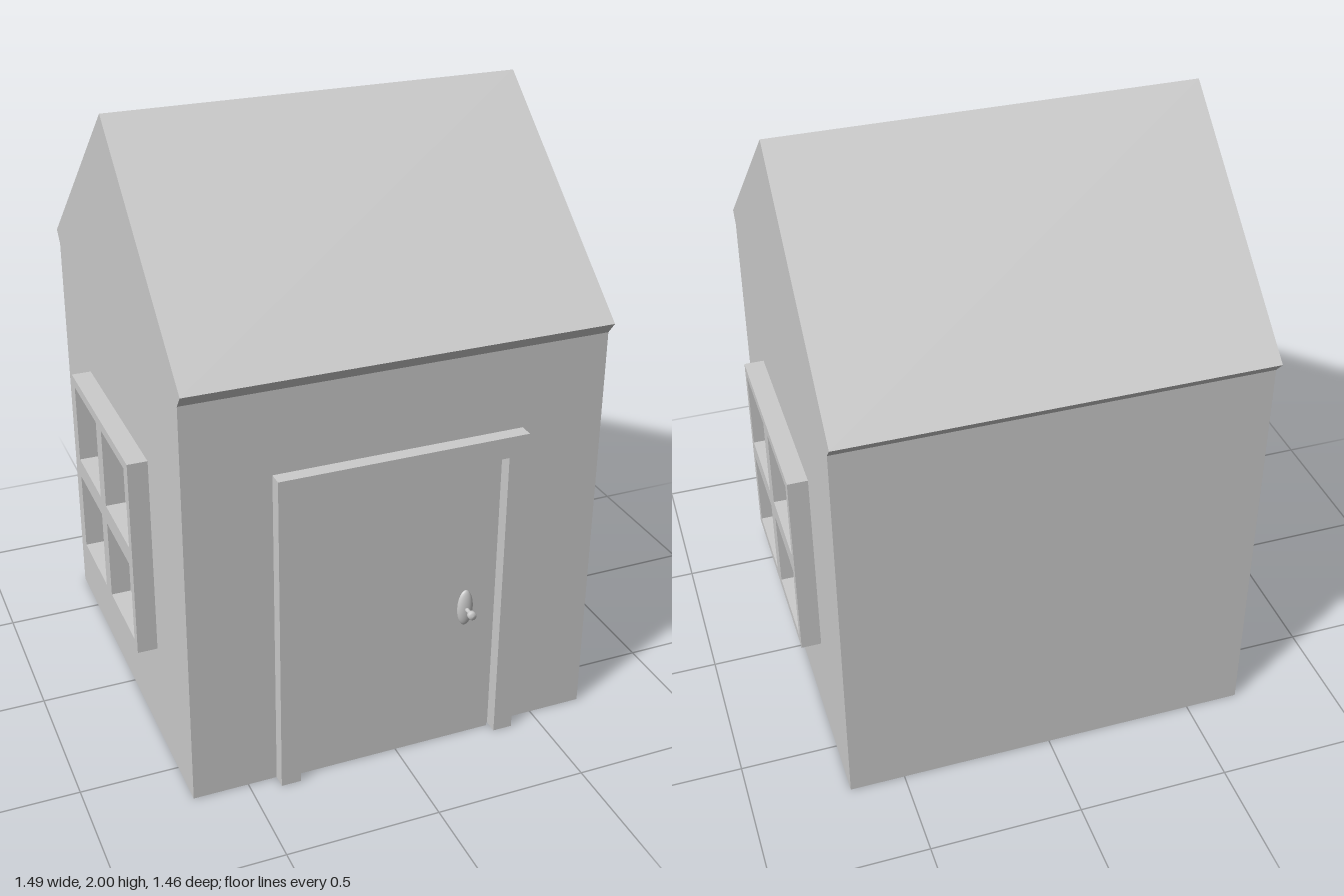
import * as THREE from 'three';

const material = new THREE.MeshStandardMaterial({ color: 0xcccccc, flatShading: true });
const smooth = new THREE.MeshStandardMaterial({ color: 0xcccccc });

function shapeFrom(points) {
  return new THREE.Shape(points.map(([x, y]) => new THREE.Vector2(x, y)));
}

function extrude(shape, depth) {
  return new THREE.ExtrudeGeometry(shape, { depth, bevelEnabled: false });
}

function part(parent, name, geometry, mat = material) {
  const mesh = new THREE.Mesh(geometry, mat);
  mesh.name = name;
  parent.add(mesh);
  return mesh;
}

function rectangle(x0, x1, y0, y1) {
  return [[x0, y0], [x1, y0], [x1, y1], [x0, y1]];
}

// Four-pane window frame standing out along +z
function windowFrameGeometry() {
  const frame = shapeFrom(rectangle(-0.34, 0.34, -0.34, 0.34));
  for (const sx of [-1, 1]) {
    for (const sy of [-1, 1]) {
      const hole = rectangle(sx * 0.17 - 0.138, sx * 0.17 + 0.138, sy * 0.17 - 0.137, sy * 0.17 + 0.137);
      frame.holes.push(shapeFrom(hole));
    }
  }
  return extrude(frame, 0.065);
}

export function createModel() {
  const house = new THREE.Group();
  house.name = 'house';

  // Walls, gables and roof slopes share one end profile, drawn as (-z, y)
  const profile = shapeFrom([
    [-0.66, 0], [0.695, 0], [0.695, 1.36], [0.73, 1.4],
    [0.02, 2], [-0.692, 1.4], [-0.66, 1.36],
  ]);
  const body = part(house, 'wallsAndRoof', extrude(profile, 1.36));
  body.rotation.y = Math.PI / 2;
  body.position.x = -0.68;

  // One window on each gable wall
  const windowGeometry = windowFrameGeometry();
  for (const side of [-1, 1]) {
    const frame = part(house, side > 0 ? 'leftWindow' : 'rightWindow', windowGeometry);
    frame.rotation.y = side * Math.PI / 2;
    frame.position.set(side * 0.68, 0.68, -0.02);
  }

  // Door surround and slab
  const surround = shapeFrom([
    [-0.405, 0], [-0.34, 0], [-0.34, 1.02], [0.34, 1.02],
    [0.34, 0], [0.405, 0], [0.405, 1.09], [-0.405, 1.09],
  ]);
  part(house, 'doorFrame', extrude(surround, 0.046)).position.z = 0.66;
  part(house, 'door', extrude(shapeFrom(rectangle(-0.33, 0.33, 0, 1.005)), 0.012)).position.z = 0.66;

  // Door handle: domed oval plate with a turned knob
  const handle = new THREE.Group();
  handle.name = 'doorHandle';
  handle.position.set(0.23, 0.49, 0.672);
  handle.rotation.x = Math.PI / 2;
  house.add(handle);

  const plate = part(handle, 'handlePlate',
    new THREE.SphereGeometry(1, 32, 8, 0, Math.PI * 2, 0, Math.PI / 2), smooth);
  plate.scale.set(0.027, 0.016, 0.064);

  const knobProfile = [
    [0.007, 0], [0.007, 0.038], [0.012, 0.04], [0.014, 0.044],
    [0.014, 0.054], [0.012, 0.059], [0, 0.061],
  ].map(([r, y]) => new THREE.Vector2(r, y));
  part(handle, 'knob', new THREE.LatheGeometry(knobProfile, 24), smooth);

  return house;
}
